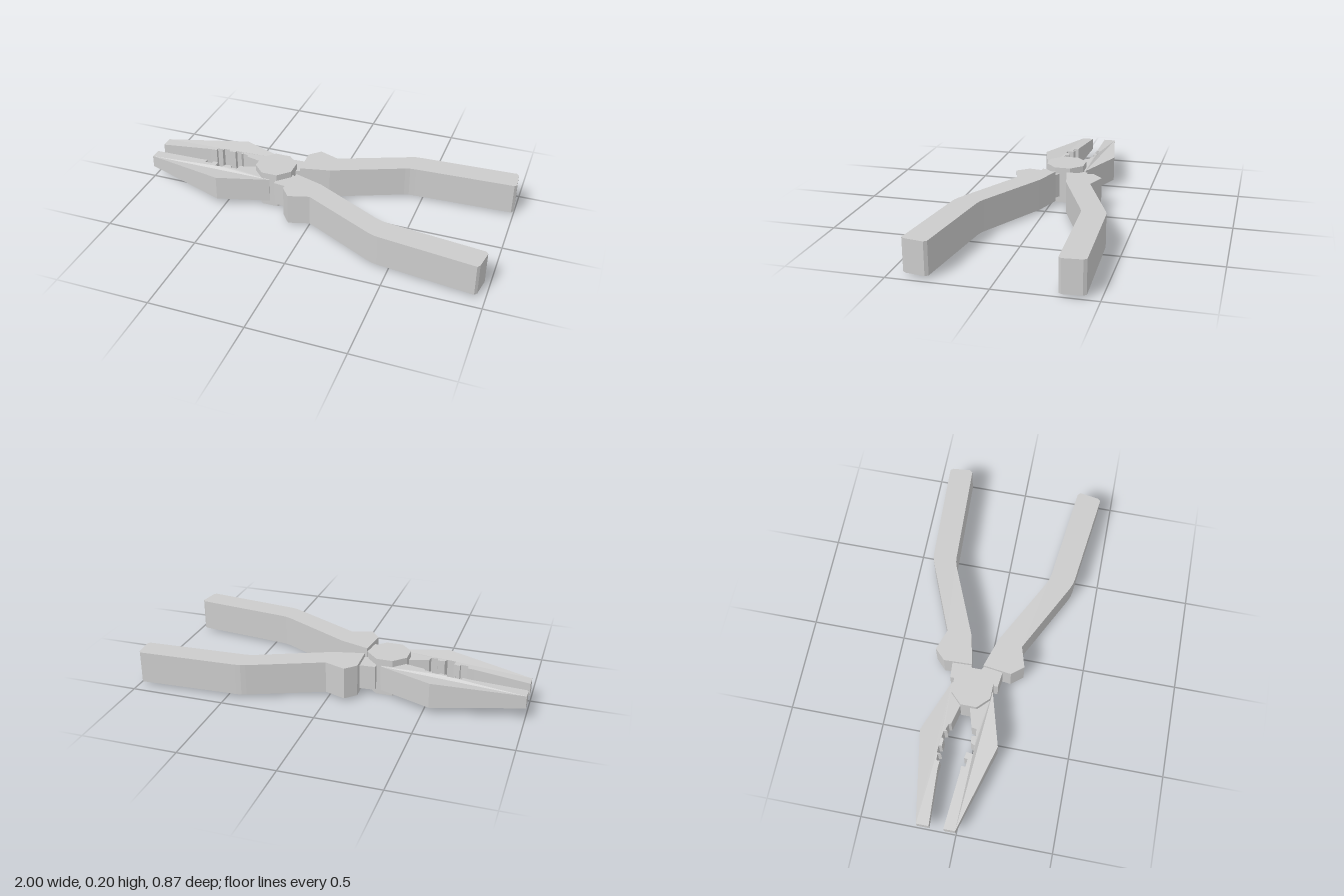
import * as THREE from 'three';

const MID = 0.1; // height of the tool's centre plane

// Upright prism from a plan outline of [x, z] points, between two heights
function prism(name, outline, y0, y1, material) {
  const shape = new THREE.Shape(outline.map(([x, z]) => new THREE.Vector2(x, -z)));
  const geometry = new THREE.ExtrudeGeometry(shape, { depth: y1 - y0, bevelEnabled: false });
  geometry.rotateX(-Math.PI / 2).translate(0, y0, 0);
  const mesh = new THREE.Mesh(geometry, material);
  mesh.name = name;
  return mesh;
}

// Thin a jaw towards its tip
function taper(mesh) {
  const p = mesh.geometry.attributes.position;
  for (let i = 0; i < p.count; i++) {
    const t = Math.max(0, (-0.54 - p.getX(i)) / 0.46);
    p.setY(i, MID - 0.003 + (p.getY(i) - MID + 0.003) * (1 - 0.51 * t));
  }
  mesh.geometry.computeVertexNormals();
  return mesh;
}

export function createModel() {
  const group = new THREE.Group();
  const metal = new THREE.MeshStandardMaterial({ color: 0xcccccc, flatShading: true });

  // Jaws: outer edge, tip, then the gripping edge with its square teeth
  const backJaw = [
    [-0.27, -0.06], [-0.25, -0.17], [-0.53, -0.28], [-1, -0.2], [-1, -0.135], [-0.71, -0.15],
    [-0.67, -0.147], [-0.67, -0.165], [-0.635, -0.165], [-0.633, -0.148], [-0.63, -0.17], [-0.595, -0.168],
    [-0.593, -0.152], [-0.555, -0.15], [-0.55, -0.163], [-0.515, -0.158], [-0.513, -0.14],
    [-0.505, -0.15], [-0.475, -0.142], [-0.47, -0.128], [-0.355, -0.1],
  ];
  const frontJaw = [
    [-0.27, -0.06], [-0.265, 0.05], [-0.545, 0.13], [-1, 0], [-1, -0.06], [-0.71, -0.035],
    [-0.675, -0.035], [-0.675, -0.012], [-0.635, -0.01], [-0.633, -0.028], [-0.6, -0.022],
    [-0.605, 0.012], [-0.56, 0.012], [-0.55, -0.01], [-0.515, -0.013],
    [-0.51, 0.008], [-0.475, 0.005], [-0.47, -0.022], [-0.355, -0.055],
  ];
  group.add(taper(prism('backJaw', backJaw, 0.03, 0.165, metal)));
  group.add(taper(prism('frontJaw', frontJaw, 0.03, 0.165, metal)));

  // Necks joining the pivot to the handles
  group.add(prism('backNeck', [
    [-0.27, -0.08], [-0.225, -0.155], [-0.225, -0.185], [-0.14, -0.19], [-0.13, -0.09], [-0.17, -0.08],
  ], 0.033, 0.165, metal));
  group.add(prism('frontNeck', [
    [-0.27, -0.04], [-0.23, 0.035], [-0.23, 0.07], [-0.145, 0.08], [-0.13, -0.02], [-0.165, -0.04],
  ], 0.033, 0.165, metal));

  // Handles with a finger guard, a soft bend and clipped end corners
  group.add(prism('backHandle', [
    [-0.14, -0.085], [-0.145, -0.235], [-0.09, -0.29], [0.02, -0.25], [0.4, -0.405], [0.425, -0.413],
    [0.455, -0.416], [0.98, -0.435], [0.992, -0.42], [1, -0.325], [0.988, -0.31],
    [0.455, -0.29], [0.425, -0.287], [0.4, -0.28], [0.02, -0.12],
  ], 0.015, 0.185, metal));
  group.add(prism('frontHandle', [
    [-0.135, -0.025], [0.02, 0.025], [0.39, 0.22], [0.42, 0.232], [0.45, 0.238], [0.96, 0.3],
    [0.973, 0.315], [0.957, 0.415], [0.945, 0.43], [0.44, 0.367], [0.415, 0.362], [0.385, 0.35],
    [0.005, 0.155], [-0.105, 0.188], [-0.155, 0.125],
  ], 0.015, 0.185, metal));

  // Octagonal pivot running through the full thickness
  const pivot = new THREE.Mesh(new THREE.CylinderGeometry(0.1115, 0.1115, 0.2, 8), metal);
  pivot.name = 'pivot';
  pivot.rotation.y = Math.PI / 8;
  pivot.position.set(-0.267, MID, -0.057);
  group.add(pivot);

  return group;
}
